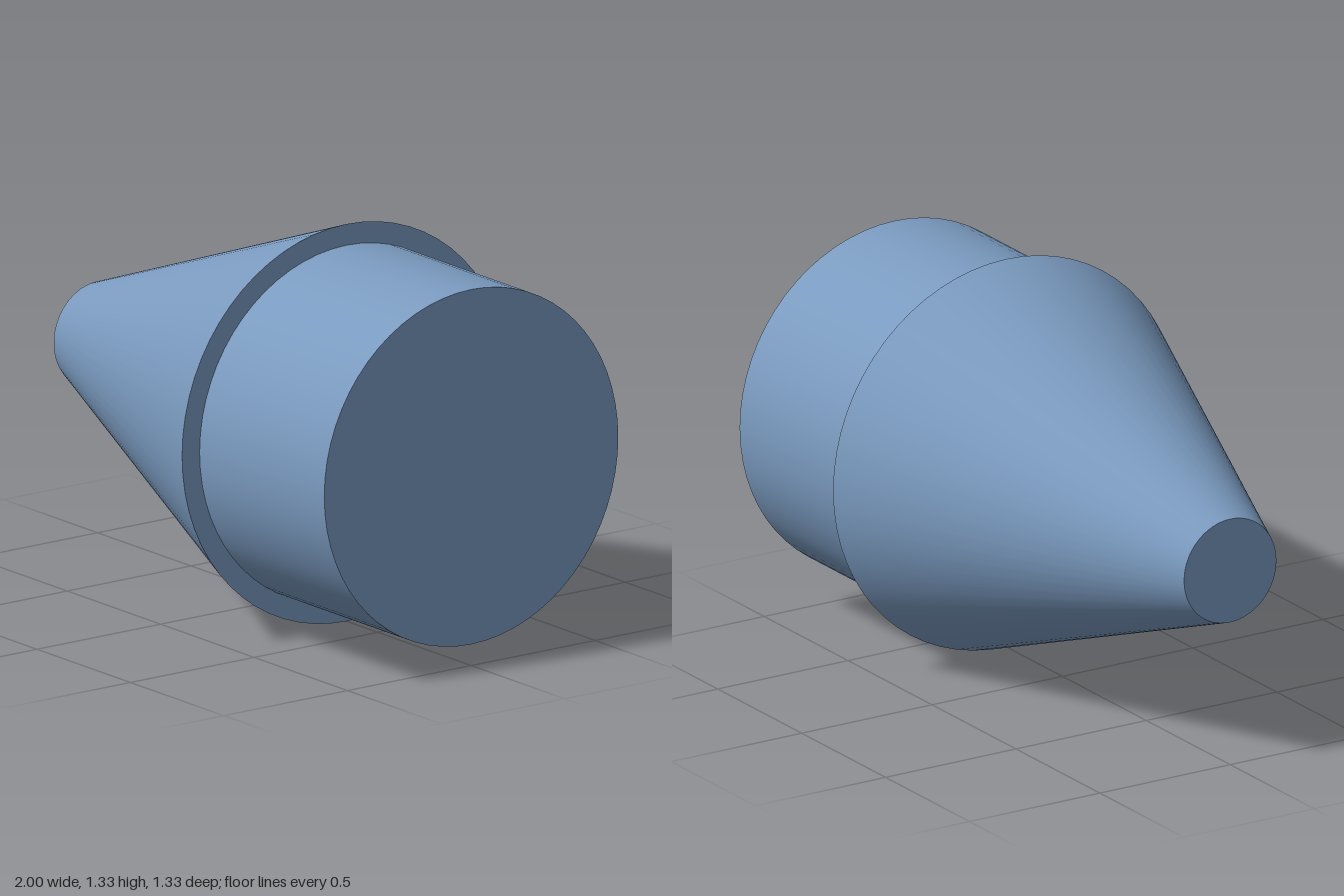
import * as THREE from 'three';
import { toCreasedNormals } from 'three/addons/utils/BufferGeometryUtils.js';

const AXIS_HEIGHT = 0.665;
const SEGMENTS = 64;

const steelBlue = new THREE.MeshStandardMaterial({ color: 0x7a9abf });
steelBlue.name = 'steelBlue';

// Revolves a [radius, x] profile about the horizontal axis, keeping rims sharp
function turned(name, profile) {
  const points = profile.map(([r, x]) => new THREE.Vector2(r, x));
  const geometry = new THREE.LatheGeometry(points, SEGMENTS);
  geometry.rotateZ(-Math.PI / 2);
  const mesh = new THREE.Mesh(toCreasedNormals(geometry, Math.PI / 6), steelBlue);
  mesh.name = name;
  mesh.position.y = AXIS_HEIGHT;
  return mesh;
}

export function createModel() {
  const model = new THREE.Group();
  model.name = 'taperedPlug';

  // Tapered nose with a flat tip and a narrow shoulder behind its wide end
  model.add(turned('taperedNose', [[0, -1], [0.177, -1], [0.665, 0.333], [0.594, 0.333]]));

  // Straight shank with a closed end
  model.add(turned('shank', [[0.594, 0.333], [0.594, 1], [0, 1]]));

  return model;
}
